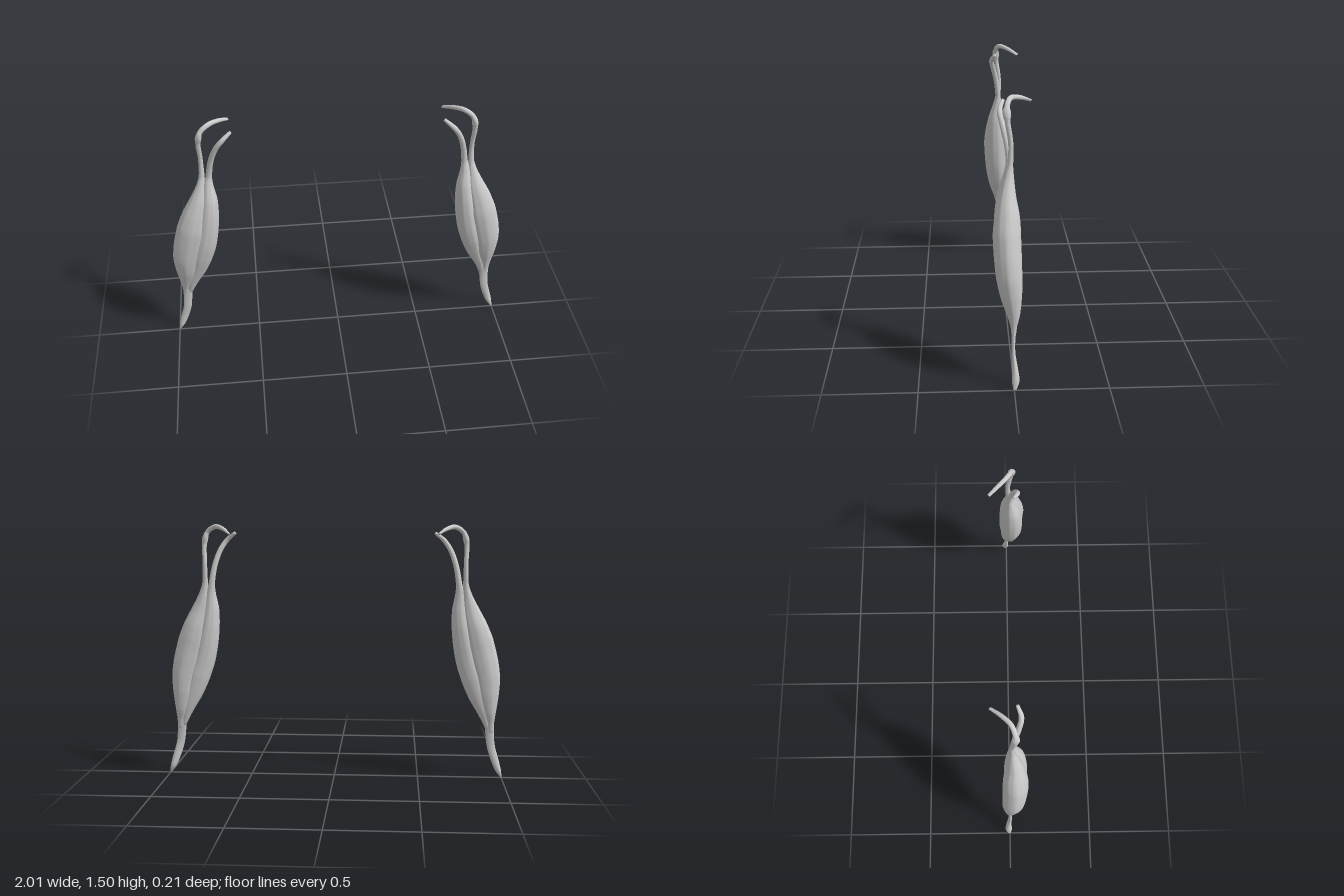
import * as THREE from 'three';

const material = new THREE.MeshStandardMaterial({ color: 0xcccccc, roughness: 0.8 });

// Stations run bottom to top: [x, y, z, half width, half depth]
const outerHead = [
  [0.93, 0.28, 0, 0.016, 0.010], [0.927, 0.34, 0, 0.024, 0.018], [0.92, 0.4, 0.001, 0.040, 0.034],
  [0.91, 0.5, 0.012, 0.065, 0.056], [0.9, 0.6, 0.022, 0.081, 0.067], [0.878, 0.7, 0.028, 0.089, 0.071],
  [0.853, 0.8, 0.032, 0.089, 0.072], [0.828, 0.9, 0.03, 0.075, 0.065], [0.798, 1.0, 0.028, 0.054, 0.046],
  [0.777, 1.1, 0.018, 0.026, 0.025], [0.768, 1.16, 0.012, 0.016, 0.015], [0.766, 1.27, 0.009, 0.013, 0.013],
  [0.769, 1.39, 0.026, 0.014, 0.014], [0.752, 1.455, 0.028, 0.014, 0.014], [0.703, 1.489, 0.008, 0.014, 0.013],
  [0.65, 1.48, -0.043, 0.012, 0.012], [0.603, 1.453, -0.1, 0.006, 0.009],
];
const innerHead = [
  [0.912, 0.3, 0, 0.012, 0.009], [0.885, 0.4, 0.004, 0.035, 0.030], [0.85, 0.5, 0.012, 0.056, 0.045],
  [0.82, 0.6, 0.022, 0.069, 0.058], [0.79, 0.7, 0.03, 0.071, 0.063], [0.768, 0.8, 0.032, 0.068, 0.064],
  [0.75, 0.9, 0.032, 0.060, 0.060], [0.738, 1.0, 0.03, 0.048, 0.047], [0.735, 1.1, 0.022, 0.028, 0.025],
  [0.728, 1.16, 0.017, 0.018, 0.016], [0.711, 1.26, 0.028, 0.016, 0.015], [0.68, 1.35, 0.048, 0.015, 0.015],
  [0.64, 1.41, 0.06, 0.014, 0.014], [0.588, 1.453, 0.04, 0.009, 0.009],
];
const lowerTendon = [
  [0.999, 0.004, -0.003, 0.004, 0.008], [0.98, 0.05, -0.008, 0.017, 0.020], [0.962, 0.1, -0.006, 0.022, 0.016],
  [0.935, 0.19, 0.002, 0.024, 0.010], [0.926, 0.26, 0.002, 0.025, 0.010], [0.922, 0.33, 0.001, 0.028, 0.014],
  [0.917, 0.39, 0.003, 0.032, 0.024],
];

// Smooth capped loft through elliptical stations, with shallow lengthwise fibre ridges
function loft(stations, side, ridge) {
  const around = 48, along = (stations.length - 1) * 7;
  const path = new THREE.CatmullRomCurve3(stations.map(([x, y, z]) => new THREE.Vector3(x * side, y, z)));
  const sizes = new THREE.CatmullRomCurve3(stations.map(([, , , w, d]) => new THREE.Vector3(w, d, 0)));
  const forward = new THREE.Vector3(0, 0, 1);
  const positions = [], index = [];
  for (let i = 0; i <= along; i++) {
    const t = i / along;
    const centre = path.getPoint(t), size = sizes.getPoint(t), tangent = path.getTangent(t);
    const across = tangent.clone().cross(forward).normalize();
    const depth = across.clone().cross(tangent).normalize();
    for (let j = 0; j < around; j++) {
      const a = (j / around) * Math.PI * 2;
      const b = side > 0 ? a : Math.PI - a;
      const k = 1 + ridge * (Math.sin(9 * b + 4 * t) + 0.6 * Math.sin(14 * b - 3 * t));
      const p = centre.clone()
        .addScaledVector(across, Math.cos(a) * size.x * k)
        .addScaledVector(depth, Math.sin(a) * size.y * k);
      positions.push(p.x, Math.max(0, p.y), p.z);
    }
  }
  for (let i = 0; i < along; i++) {
    for (let j = 0; j < around; j++) {
      const n = (j + 1) % around;
      const a = i * around + j, b = i * around + n, c = a + around, d = b + around;
      index.push(a, c, b, b, c, d);
    }
  }
  // End caps
  const first = positions.length / 3, top = along * around;
  for (const t of [0, 1]) positions.push(...path.getPoint(t).toArray());
  for (let j = 0; j < around; j++) {
    const n = (j + 1) % around;
    index.push(first, j, n, first + 1, top + n, top + j);
  }
  const geometry = new THREE.BufferGeometry();
  geometry.setAttribute('position', new THREE.Float32BufferAttribute(positions, 3));
  geometry.setIndex(index);
  geometry.computeVertexNormals();
  return geometry;
}

function createMuscle(side) {
  const muscle = new THREE.Group();
  muscle.name = side > 0 ? 'leftMuscle' : 'rightMuscle';
  const parts = [
    ['outerHead', outerHead, 0.012],
    ['innerHead', innerHead, 0.012],
    ['lowerTendon', lowerTendon, 0.008],
  ];
  for (const [name, stations, ridge] of parts) {
    const mesh = new THREE.Mesh(loft(stations, side, ridge), material);
    mesh.name = name;
    muscle.add(mesh);
  }
  return muscle;
}

export function createModel() {
  const model = new THREE.Group();
  model.name = 'upperArmMuscles';
  model.add(createMuscle(1), createMuscle(-1));
  return model;
}
